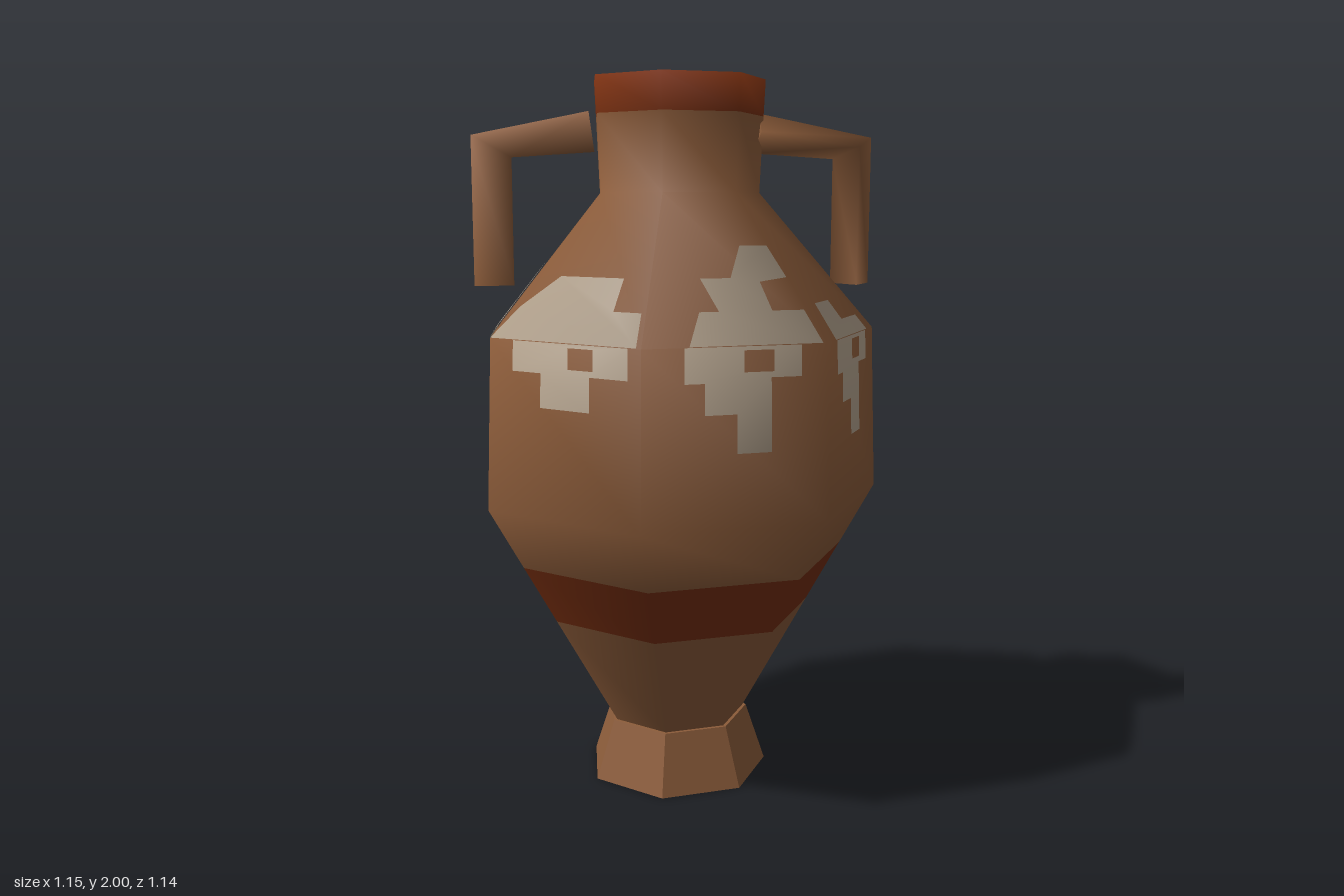
import * as THREE from 'three';

const SIDES = 7, CX = -0.012;
const mat = (name, color, side = THREE.FrontSide) => {
  const m = new THREE.MeshStandardMaterial({ color, side });
  m.name = name;
  return m;
};

// Seven-sided turned piece, one corner pointing to +x
function turned(name, profile, material, flat = false) {
  const pts = profile.map(([r, y]) => new THREE.Vector2(r, y));
  let geo = new THREE.LatheGeometry(pts, SIDES, Math.PI / 2);
  if (flat) {
    geo = geo.toNonIndexed();
    geo.computeVertexNormals();
  }
  const mesh = new THREE.Mesh(geo, material);
  mesh.name = name;
  mesh.position.x = CX;
  return mesh;
}

// Thin patch lying on one body face; points are [fraction across face, height]
function patch(face, outline, hole, shift, material) {
  const toVec = ([s, y]) => new THREE.Vector2(s + shift, y);
  const shape = new THREE.Shape(outline.map(toVec));
  if (hole) shape.holes.push(new THREE.Path(hole.map(toVec)));
  const geo = new THREE.ShapeGeometry(shape);
  const p = geo.attributes.position, n = geo.attributes.normal;
  const step = Math.PI * 2 / SIDES, left = (face + 1) * step, right = face * step;
  const shoulder = outline.some(([, y]) => y > 1.32);
  for (let i = 0; i < p.count; i++) {
    const s = p.getX(i), y = p.getY(i);
    const r = 0.004 + (shoulder ? 0.567 - 0.874 * (y - 1.31) : 0.567 + 0.0387 * (1.31 - y));
    const x = THREE.MathUtils.lerp(Math.cos(left), Math.cos(right), s);
    const z = THREE.MathUtils.lerp(Math.sin(left), Math.sin(right), s);
    p.setXYZ(i, r * x + CX, y + (shoulder ? 0.002 : 0), r * z);
    const a = THREE.MathUtils.lerp(left, right, s);
    const ny = shoulder ? 0.38 : 0.38 - 1.35 * (1.31 - y);
    const v = new THREE.Vector3(Math.cos(a), ny, Math.sin(a)).normalize();
    n.setXYZ(i, v.x, v.y, v.z);
  }
  const mesh = new THREE.Mesh(geo, material);
  mesh.name = shoulder ? 'shoulderPatch' : 'wallPatch';
  return mesh;
}

// Bent three-sided handle: arm from the neck, then a leg hanging down
function handle(material) {
  const rings = [
    [[0.225, 1.91, -0.035], [0.218, 1.855, 0.07], [0.21, 1.8, -0.035]],
    [[0.547, 1.845, -0.035], [0.492, 1.815, 0.07], [0.437, 1.785, -0.035]],
    [[0.547, 1.435, -0.035], [0.492, 1.435, 0.07], [0.437, 1.435, -0.035]],
  ];
  const pos = rings.flat(2), index = [];
  for (let k = 0; k < 2; k++) {
    for (let i = 0; i < 3; i++) {
      const a = k * 3 + i, b = k * 3 + (i + 1) % 3;
      index.push(a, b, a + 3, b, b + 3, a + 3);
    }
  }
  // end caps with their own corners
  pos.push(...rings[0].flat(), ...rings[2].flat());
  index.push(9, 11, 10, 12, 13, 14);
  const geo = new THREE.BufferGeometry();
  geo.setAttribute('position', new THREE.Float32BufferAttribute(pos, 3));
  geo.setIndex(index);
  geo.computeVertexNormals();
  return new THREE.Mesh(geo, material);
}

export function createModel() {
  const group = new THREE.Group();
  const clay = mat('clay brown', 0x8c5c3a);
  const clayBoth = mat('handle clay', 0x8c5c3a, THREE.DoubleSide);
  const red = mat('red band', 0x782f10);
  const pale = mat('pale glaze', 0xb5a48f, THREE.DoubleSide);

  // Foot with a hollow underneath
  group.add(turned('foot', [[0, 0.08], [0.09, 0.05], [0.125, 0], [0.267, 0], [0.21, 0.17], [0.15, 0.172]], clay, true));

  // Body, neck and rim
  group.add(
    turned('lowerBody', [[0.2, 0.17], [0.388, 0.5]], clay),
    turned('bodyBand', [[0.388, 0.5], [0.485, 0.67]], red),
    turned('upperBody', [[0.485, 0.67], [0.585, 0.845], [0.567, 1.31], [0.235, 1.69], [0.245, 1.9]], clay),
    turned('rim', [[0.245, 1.9], [0.25, 2], [0.16, 1.98]], red),
    turned('mouth', [[0.16, 1.98], [0, 1.96]], clay),
  );

  // Handles, one turned half way round
  const leftHandle = handle(clayBoth);
  leftHandle.name = 'leftHandle';
  const rightHandle = handle(clayBoth);
  rightHandle.name = 'rightHandle';
  rightHandle.rotation.y = Math.PI;
  rightHandle.position.x = -0.03;
  group.add(leftHandle, rightHandle);

  // Pale patches: wall outlines, shoulder outlines
  const longWall = [[0.225, 1.31], [0.225, 1.22], [0.33, 1.22], [0.33, 1.14], [0.5, 1.14], [0.5, 1.04],
    [0.685, 1.04], [0.685, 1.23], [0.85, 1.23], [0.85, 1.31]];
  const shortWall = [[0.17, 1.31], [0.17, 1.23], [0.36, 1.23], [0.36, 1.14], [0.68, 1.14], [0.68, 1.23],
    [0.92, 1.23], [0.92, 1.31]];
  const hole = [[0.54, 1.245], [0.7, 1.245], [0.7, 1.3], [0.54, 1.3]];
  const tall = [[0.25, 1.31], [0.32, 1.39], [0.44, 1.39], [0.35, 1.47], [0.57, 1.47], [0.73, 1.55], [0.97, 1.55],
    [0.98, 1.47], [0.77, 1.46], [0.77, 1.39], [0.97, 1.39], [0.97, 1.31]];
  const wide = [[0.01, 1.31], [0.06, 1.39], [0.23, 1.47], [0.78, 1.47], [0.77, 1.39], [0.97, 1.39], [0.97, 1.31]];
  const low = [[0.2, 1.31], [0.24, 1.4], [0.55, 1.4], [0.55, 1.35], [0.88, 1.35], [0.88, 1.31]];
  const half = [[0.02, 1.31], [0.02, 1.45], [0.25, 1.5], [0.5, 1.45], [0.5, 1.38], [0.7, 1.38], [0.7, 1.31]];
  const faces = [
    [longWall, low, -0.05], [longWall, tall, 0], [shortWall, wide, 0], [longWall, half, 0],
    [longWall, tall, 0], [shortWall, wide, 0], [longWall, low, -0.1],
  ];
  faces.forEach(([wall, shoulder, shift], i) => {
    group.add(patch(i, wall, hole, shift, pale), patch(i, shoulder, null, shift, pale));
  });
  return group;
}
